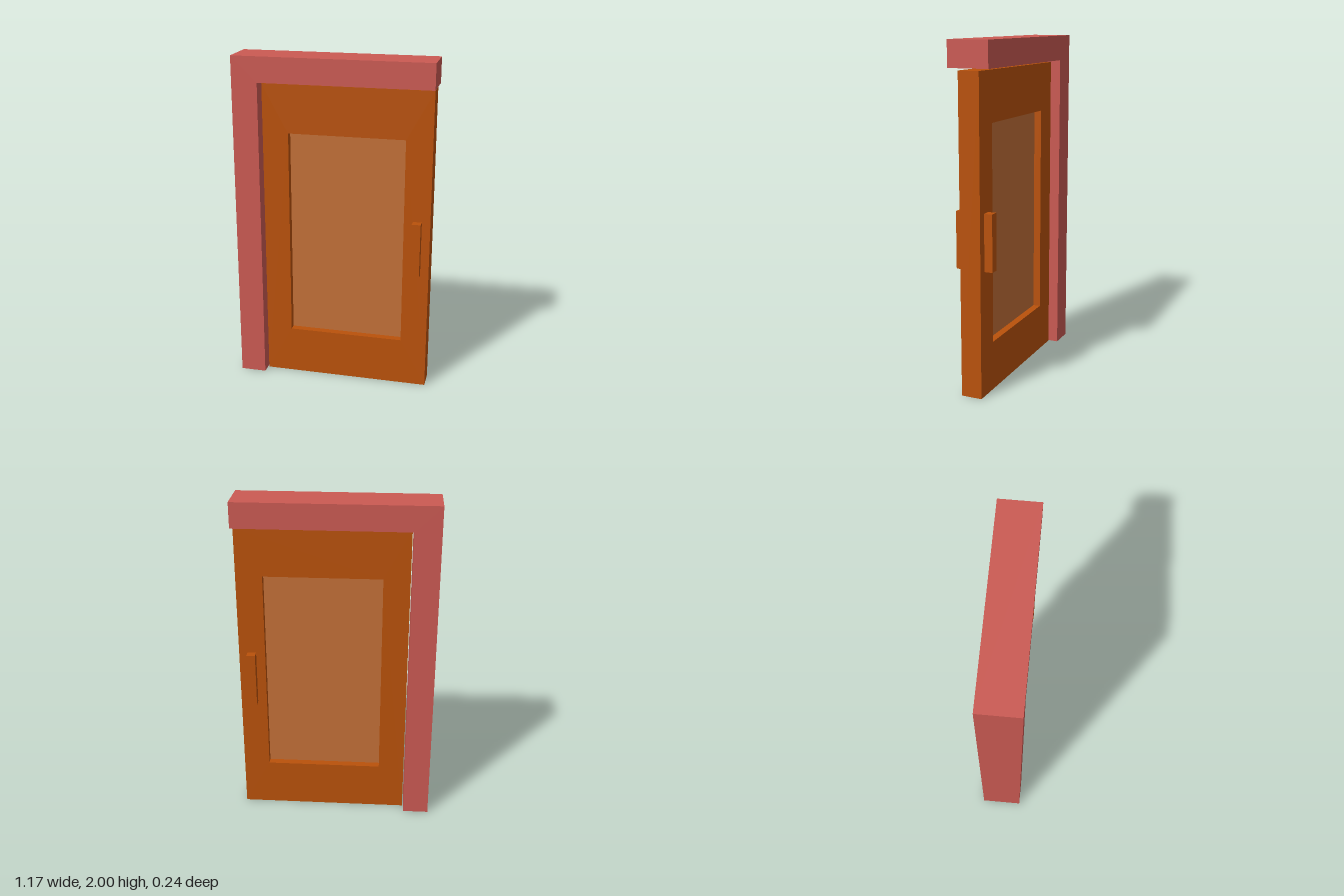
import * as THREE from 'three';

const frameRed = new THREE.MeshStandardMaterial({ color: 0xcb5a53, side: THREE.DoubleSide });
frameRed.name = 'frameRed';
const doorOrange = new THREE.MeshStandardMaterial({ color: 0xba520b });
doorOrange.name = 'doorOrange';
const paneTan = new THREE.MeshStandardMaterial({ color: 0xc37038 });
paneTan.name = 'paneTan';

const rect = (x0, y0, x1, y1) =>
  [[x0, y0], [x1, y0], [x1, y1], [x0, y1]].map(([x, y]) => new THREE.Vector2(x, y));

// Extrudes an outline to a depth centred on z = 0
function slab(shape, depth) {
  const geometry = new THREE.ExtrudeGeometry(shape, { depth, bevelEnabled: false });
  return geometry.translate(0, 0, -depth / 2);
}

// Removes the triangles lying on the floor, leaving the foot open
function openFoot(geometry) {
  const p = geometry.attributes.position.array;
  const n = geometry.attributes.normal.array;
  const points = [], normals = [];
  for (let i = 0; i < p.length; i += 9) {
    if (Math.max(p[i + 1], p[i + 4], p[i + 7]) < 0.001) continue;
    points.push(...p.slice(i, i + 9));
    normals.push(...n.slice(i, i + 9));
  }
  const open = new THREE.BufferGeometry();
  open.setAttribute('position', new THREE.Float32BufferAttribute(points, 3));
  open.setAttribute('normal', new THREE.Float32BufferAttribute(normals, 3));
  return open;
}

export function createModel() {
  const model = new THREE.Group();
  model.name = 'door';
  const add = (name, geometry, material) => {
    const mesh = new THREE.Mesh(geometry, material);
    mesh.name = name;
    model.add(mesh);
    return mesh;
  };

  // L-shaped frame: one post and the lintel
  const outline = [[-0.587, 0], [-0.433, 0], [-0.433, 1.85], [0.587, 1.85], [0.587, 2], [-0.587, 2]];
  const frame = new THREE.Shape(outline.map(([x, y]) => new THREE.Vector2(x, y)));
  add('frame', openFoot(slab(frame, 0.242)), frameRed);

  // Door leaf with a window opening
  const leaf = new THREE.Shape(rect(-0.425, 0, 0.58, 1.838));
  leaf.holes.push(new THREE.Path(rect(-0.27, 0.29, 0.424, 1.55).reverse()));
  add('doorLeaf', slab(leaf, 0.124), doorOrange);

  // Recessed panel in the opening
  add('windowPanel', slab(new THREE.Shape(rect(-0.27, 0.29, 0.424, 1.55)), 0.036), paneTan);

  // Upright handle on both faces
  for (const [name, side] of [['frontHandle', 1], ['backHandle', -1]]) {
    const handle = add(name, new THREE.BoxGeometry(0.052, 0.33, 0.05), doorOrange);
    handle.position.set(0.504, 0.9, side * 0.086);
  }
  return model;
}
